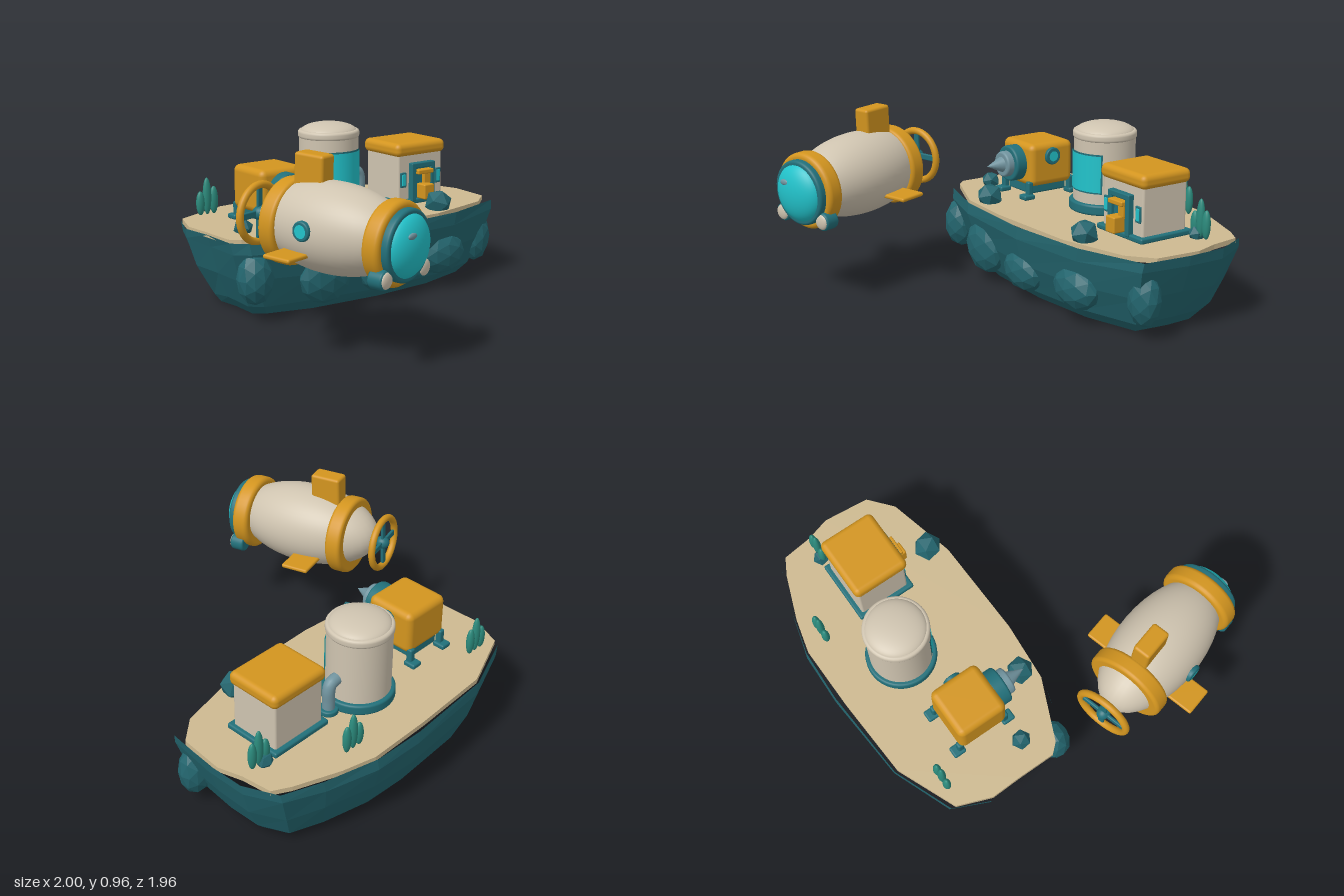
import * as THREE from 'three';
import { RoundedBoxGeometry } from 'three/addons/geometries/RoundedBoxGeometry.js';

const mat = (name, color, extra = {}) => {
  const m = new THREE.MeshStandardMaterial({ color, ...extra });
  m.name = name;
  return m;
};

export function createModel() {
  const rock = mat('rock teal', 0x23656e, { flatShading: true });
  const sand = mat('sand', 0xcdb990);
  const cream = mat('cream', 0xcfc4b0);
  const orange = mat('orange', 0xd3951f);
  const teal = mat('trim teal', 0x22707a);
  const cyan = mat('glass cyan', 0x22c3cb, { side: THREE.DoubleSide });
  const metal = mat('metal', 0x71949f);
  const plant = mat('plant green', 0x2b8a7c);

  const model = new THREE.Group();
  const group = (name, x = 0, y = 0, z = 0) => {
    const g = new THREE.Group();
    g.name = name;
    g.position.set(x, y, z);
    model.add(g);
    return g;
  };
  const add = (parent, name, geo, material, x = 0, y = 0, z = 0) => {
    const m = new THREE.Mesh(geo, material);
    m.name = name;
    m.position.set(x, y, z);
    parent.add(m);
    return m;
  };
  const box = (w, h, d, r = 0.01) => new RoundedBoxGeometry(w, h, d, 3, Math.min(r, w / 2.1, h / 2.1, d / 2.1));
  // Drum with rounded edges, standing on y unless turned to face z
  const drum = (r, h, bevel = 0.01) => {
    const pts = [[0, -h / 2]];
    for (let i = 0; i <= 4; i++) {
      const a = -Math.PI / 2 + (i / 4) * Math.PI / 2;
      pts.push([r - bevel + bevel * Math.cos(a), -h / 2 + bevel + bevel * Math.sin(a)]);
    }
    for (let i = 0; i <= 4; i++) {
      const a = (i / 4) * Math.PI / 2;
      pts.push([r - bevel + bevel * Math.cos(a), h / 2 - bevel + bevel * Math.sin(a)]);
    }
    pts.push([0, h / 2]);
    return new THREE.LatheGeometry(pts.map(p => new THREE.Vector2(...p)), 48);
  };
  const drumZ = (r, h, bevel) => drum(r, h, bevel).rotateX(Math.PI / 2);
  const ball = (rx, ry, rz) => new THREE.SphereGeometry(1, 40, 28).scale(rx, ry, rz);
  const G = 0.432; // ground level on the island

  // Island: faceted rock from stacked outlines, with a sand plate on top
  const outline = [[-0.785, -0.63], [-0.7, -0.82], [-0.38, -0.95], [0.12, -0.985], [0.41, -0.975], [0.7, -0.9],
    [0.905, -0.82], [0.985, -0.64], [0.99, -0.42], [0.96, -0.15], [0.59, -0.03], [0.12, 0.01],
    [-0.4, -0.03], [-0.71, -0.13], [-0.78, -0.2], [-0.77, -0.44]];
  const layers = [[0.004, 0.79, 0.68], [0.05, 0.85, 0.8], [0.2, 0.93, 0.92], [0.35, 0.985, 1], [0.42, 0.995, 0.98]];
  let seed = 7;
  const rand = () => (seed = (seed * 16807) % 2147483647) / 2147483647;
  const rings = layers.map(([y, sx, sz], k) => outline.map(([x, z]) => {
    const j = k === 0 || k === 4 ? 0 : (rand() - 0.5) * 0.05;
    return [0.1 + (x - 0.1) * (sx + Math.min(j, 0)), y + (k === 4 ? 0 : j * 0.5 + (k ? 0.01 : 0)), -0.485 + (z + 0.485) * (sz + Math.min(j, 0))];
  }));
  const verts = [];
  const n = outline.length;
  for (let i = 0; i < n; i++) {
    const q = (i + 1) % n;
    for (let k = 0; k < layers.length - 1; k++) {
      const lo = rings[k], up = rings[k + 1];
      verts.push(...lo[q], ...lo[i], ...up[i], ...lo[q], ...up[i], ...up[q]);
    }
    verts.push(0.1, 0.002, -0.485, ...rings[0][i], ...rings[0][q]);
  }
  const rockGeo = new THREE.BufferGeometry();
  rockGeo.setAttribute('position', new THREE.Float32BufferAttribute(verts, 3));
  rockGeo.computeVertexNormals();
  const island = group('island');
  add(island, 'rockBase', rockGeo, rock);
  const sandEdge = [[-0.77, -0.61], [-0.7, -0.79], [-0.38, -0.925], [0.06, -0.95], [0.41, -0.955], [0.59, -0.91],
    [0.83, -0.82], [0.92, -0.77], [0.94, -0.61], [0.978, -0.48], [0.955, -0.235], [0.83, -0.13], [0.46, -0.04],
    [-0.08, -0.025], [-0.4, -0.05], [-0.72, -0.19], [-0.765, -0.24], [-0.765, -0.45]];
  const sandShape = new THREE.Shape(sandEdge.map(([x, z]) => new THREE.Vector2(x, -z)));
  add(island, 'sandTop', new THREE.ExtrudeGeometry(sandShape, { depth: 0.026, bevelEnabled: false })
    .rotateX(-Math.PI / 2), sand, 0, G - 0.026, 0);

  // Boulders along the front face
  for (const [x, y, z, rx, ry, rz] of [[-0.66, 0.23, -0.16, 0.1, 0.14, 0.09], [-0.28, 0.2, -0.08, 0.16, 0.15, 0.08],
    [0.09, 0.17, -0.075, 0.155, 0.115, 0.085], [0.515, 0.19, -0.09, 0.16, 0.115, 0.085], [0.885, 0.21, -0.22, 0.095, 0.145, 0.08]])
    add(island, 'boulder', new THREE.IcosahedronGeometry(1, 1).scale(rx, ry, rz), rock, x, y, z);

  // Pointed stones on the sand
  for (const [x, z, r] of [[-0.315, -0.125, 0.073], [0.527, -0.125, 0.077], [-0.615, -0.33, 0.052], [0.805, -0.615, 0.046]])
    add(island, 'stone', new THREE.IcosahedronGeometry(r, 0).rotateX(-0.5536), rock, x, G + r * 0.45, z);

  // Plants: three slim leaves in a row
  for (const [x, z] of [[-0.555, -0.77], [0.445, -0.84], [0.835, -0.61]])
    [[-0.042, 0.065], [0, 0.1], [0.042, 0.075]].forEach(([dx, h]) =>
      add(island, 'plantLeaf', ball(0.024, h, 0.02), plant, x + dx, G + h + 0.008, z));

  // Storage tank
  const tank = group('tank', 0.112, G, -0.57);
  add(tank, 'tankBase', drum(0.185, 0.056, 0.012), teal, 0, 0.028, 0);
  add(tank, 'tankBody', new THREE.CylinderGeometry(0.163, 0.163, 0.36, 48), cream, 0, 0.22, 0);
  add(tank, 'tankRim', drum(0.169, 0.045, 0.015), cream, 0, 0.408, 0);
  add(tank, 'tankDome', ball(0.155, 0.05, 0.155), cream, 0, 0.42, 0);
  const panel = (r, h, a) => new THREE.CylinderGeometry(r, r, h, 32, 1, true, -a, 2 * a);
  add(tank, 'panelFrame', panel(0.166, 0.212, 0.85), teal, 0, 0.219, 0);
  add(tank, 'panelGlass', panel(0.169, 0.195, 0.8), cyan, 0, 0.219, 0);
  const pipePath = new THREE.CatmullRomCurve3([[0.12, 0.175], [0.17, 0.175], [0.2, 0.165], [0.212, 0.135], [0.212, 0.07], [0.212, 0]]
    .map(([x, y]) => new THREE.Vector3(x, y, 0)));
  add(tank, 'pipe', new THREE.TubeGeometry(pipePath, 32, 0.032, 20), metal);
  add(tank, 'pipeFoot', drum(0.05, 0.03, 0.008), teal, 0.212, 0.015, 0);

  // House
  const house = group('house', 0.57, G, -0.47);
  add(house, 'houseBase', box(0.36, 0.03, 0.33), teal, 0, 0.013, 0);
  add(house, 'walls', box(0.315, 0.27, 0.28, 0.012), cream, 0, 0.15, 0);
  add(house, 'roof', box(0.35, 0.075, 0.312, 0.03), orange, 0, 0.306, 0);
  for (const s of [-1, 1]) {
    add(house, 'doorPost', box(0.03, 0.215, 0.045, 0.006), teal, s * 0.068, 0.122, 0.15);
    add(house, 'windowFrame', box(0.04, 0.085, 0.02, 0.005), teal, s * 0.125, 0.138, 0.138);
    add(house, 'windowGlass', box(0.024, 0.064, 0.008, 0.003), cyan, s * 0.125, 0.138, 0.148);
  }
  add(house, 'doorLintel', box(0.166, 0.03, 0.045, 0.006), teal, 0, 0.215, 0.15);
  add(house, 'doorPanel', box(0.12, 0.2, 0.02, 0.004), teal, 0, 0.11, 0.142);
  add(house, 'canopy', box(0.11, 0.025, 0.065, 0.006), orange, 0, 0.18, 0.162);
  add(house, 'doorStep', box(0.07, 0.085, 0.075, 0.008), orange, 0, 0.07, 0.185);
  add(house, 'innerDoor', box(0.045, 0.06, 0.03, 0.004), orange, 0.025, 0.138, 0.16);

  // Drilling machine
  const drill = group('drillMachine', -0.357, G, -0.47);
  add(drill, 'drillBody', box(0.28, 0.235, 0.28, 0.035), orange, 0, 0.184, 0);
  add(drill, 'underFrame', box(0.2, 0.07, 0.24), teal, 0, 0.055, 0);
  for (const sx of [-1, 1]) for (const sz of [-1, 1]) {
    add(drill, 'foot', box(0.062, 0.028, 0.07), teal, sx * 0.115, 0.014, sz * 0.15);
    add(drill, 'leg', box(0.035, 0.085, 0.035), teal, sx * 0.115, 0.055, sz * 0.135);
  }
  add(drill, 'drillCollar', drumZ(0.098, 0.075, 0.012), teal, 0, 0.185, 0.165);
  add(drill, 'drillHub', drumZ(0.07, 0.06, 0.012), metal, 0, 0.185, 0.212);
  add(drill, 'drillBit', new THREE.ConeGeometry(0.045, 0.1, 32).rotateX(Math.PI / 2), metal, 0, 0.185, 0.285);
  add(drill, 'sidePort', drum(0.047, 0.022, 0.006).rotateZ(-Math.PI / 2), teal, 0.147, 0.23, 0.005);
  add(drill, 'sidePortGlass', new THREE.CircleGeometry(0.028, 24).rotateY(Math.PI / 2), cyan, 0.1595, 0.23, 0.005);

  // Submarine, nose toward local +z
  const sub = group('submarine', -0.667, 0.607, 0.44);
  sub.rotation.set(0.04, 0.267, 0, 'YXZ');
  add(sub, 'hull', ball(0.22, 0.218, 0.42), cream, 0, 0.01, 0.06);
  add(sub, 'rearBand', drumZ(0.212, 0.09, 0.02), orange, 0, 0, -0.19);
  add(sub, 'frontBand', drumZ(0.202, 0.095, 0.025), orange, 0, 0, 0.4);
  add(sub, 'noseRim', drumZ(0.172, 0.05, 0.015), teal, 0, 0, 0.46);
  add(sub, 'noseGlass', ball(0.155, 0.155, 0.08), cyan, 0, 0, 0.462);
  add(sub, 'glassGlint', ball(0.032, 0.016, 0.01), metal, -0.045, 0.062, 0.528);
  add(sub, 'topFin', box(0.095, 0.2, 0.17, 0.015), orange, 0, 0.245, -0.07);
  for (const s of [-1, 1]) {
    add(sub, 'sideFin', box(0.17, 0.022, 0.155, 0.01), orange, s * 0.245, -0.09, -0.02);
    add(sub, 'lampHousing', drumZ(0.048, 0.08, 0.012), teal, s * 0.148, -0.132, 0.43);
    add(sub, 'lampFace', ball(0.04, 0.04, 0.015), cream, s * 0.148, -0.132, 0.468);
  }
  add(sub, 'portRim', drum(0.048, 0.03, 0.008).rotateZ(Math.PI / 2), teal, -0.218, 0.03, 0.04);
  add(sub, 'portGlass', new THREE.CircleGeometry(0.032, 24).rotateY(-Math.PI / 2), cyan, -0.2345, 0.03, 0.04);

  // Propeller inside its guard ring
  add(sub, 'propGuard', new THREE.TorusGeometry(0.14, 0.019, 16, 48), orange, 0, 0, -0.4);
  add(sub, 'propHub', ball(0.035, 0.035, 0.04), teal, 0, 0, -0.395);
  add(sub, 'propShaft', new THREE.CylinderGeometry(0.02, 0.02, 0.1, 20).rotateX(Math.PI / 2), teal, 0, 0, -0.36);
  for (const a of [0, Math.PI / 2])
    add(sub, 'propBlades', box(0.26, 0.034, 0.016, 0.006), teal, 0, 0, -0.4).rotation.z = a;

  return model;
}
